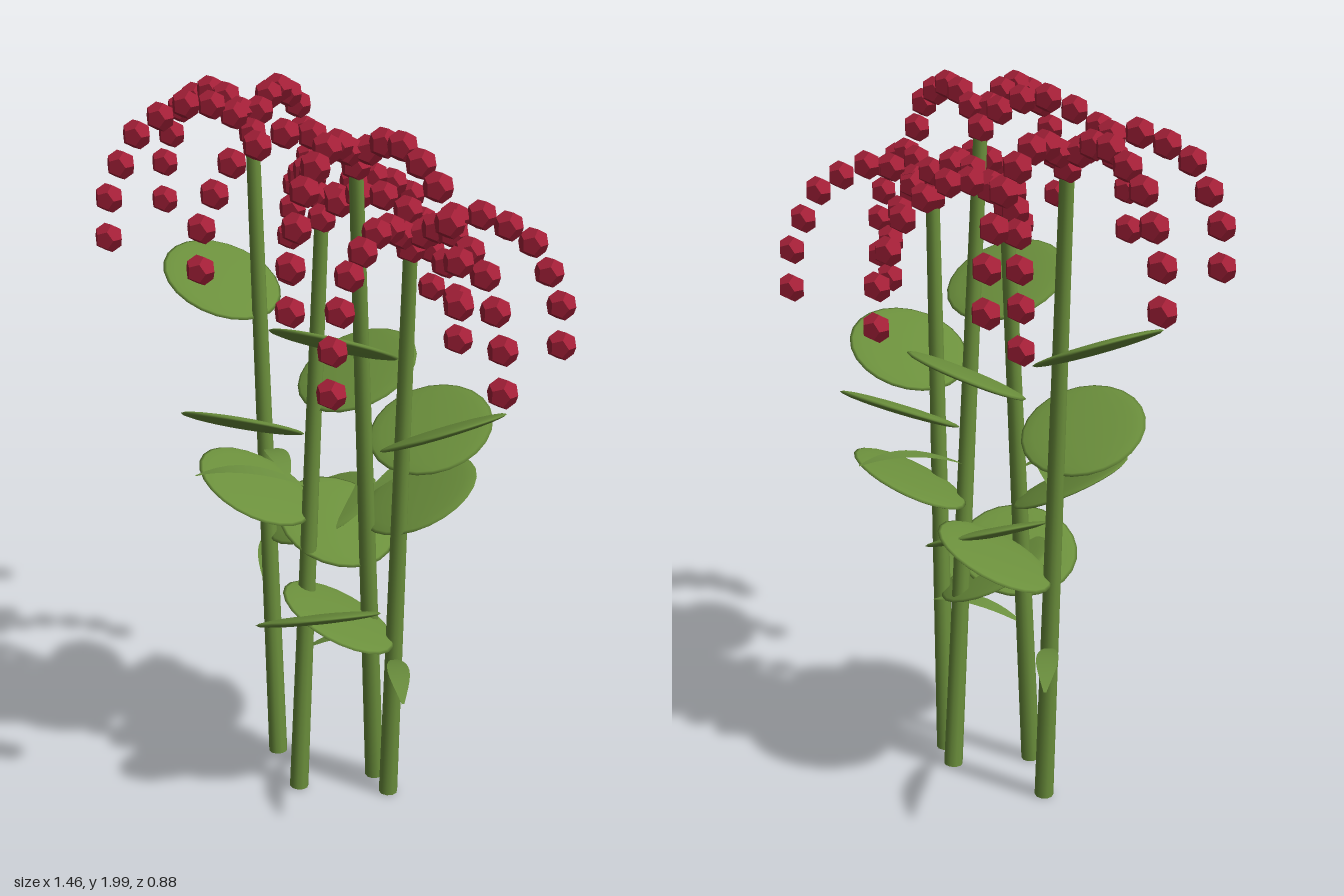
import * as THREE from 'three';
import { mergeVertices } from 'three/addons/utils/BufferGeometryUtils.js';

const material = (name, color, extra = {}) => {
  const m = new THREE.MeshStandardMaterial({ color, ...extra });
  m.name = name;
  return m;
};

// Welds all corners so shading flows smoothly over the caps
function weld(geometry) {
  geometry.deleteAttribute('normal');
  geometry.deleteAttribute('uv');
  const welded = mergeVertices(geometry);
  welded.computeVertexNormals();
  return welded;
}

const V = (x, y, z) => new THREE.Vector3(x, y, z);

// Each plant: stem ends, leaves [height, dx, dz], strands [dx, dz], blades [height, tip x, y, z]
const plants = [
  {
    base: V(-0.18, 0, -0.02), top: V(-0.29, 1.86, -0.045),
    leaves: [[1.34, -1, 0], [1.01, 0.065, 0.145], [0.69, 0.09, -0.13]],
    strands: [[-0.16, -0.37], [-0.4, -0.02], [-0.21, 0.34]],
    blades: [[0.48, -0.48, 0.53, -0.25], [0.95, -0.02, 0.96, 0.08]],
  },
  {
    base: V(0.01, 0, 0.075), top: V(0.02, 1.69, -0.005),
    leaves: [[1.16, 0.01, -0.17], [0.84, -0.145, 0.08], [0.53, 0.15, 0.09]],
    strands: [[-0.33, -0.2], [0.03, -0.4], [0.37, -0.12]],
    blades: [[0.44, 0.22, 0.49, -0.12], [0.93, -0.18, 0.98, 0.28]],
  },
  {
    base: V(0.115, 0, -0.13), top: V(0.17, 1.865, 0.02),
    leaves: [[1.34, 0.045, 0.15], [0.82, 0.07, -0.16], [0.7, -0.16, -0.03]],
    strands: [[-0.26, 0.3], [0.15, 0.38], [0.4, 0.04]],
    blades: [[0.92, 0.19, 0.98, -0.38]],
  },
  {
    base: V(0.21, 0, -0.09), top: V(0.3, 1.66, -0.05),
    leaves: [[1.02, -0.03, -0.13], [1.11, 0.15, 0.01], [0.5, -0.11, 0.12]],
    strands: [[0.28, -0.32], [0.4, 0.08], [0.1, 0.37]],
    blades: [[0.44, 0.48, 0.48, 0.14]],
  },
];

// Arching strand: outward distance and height of each bead
const beadPath = [[0, 0], [0.05, 0.05], [0.11, 0.08], [0.18, 0.085], [0.25, 0.055],
  [0.315, 0.01], [0.36, -0.07], [0.395, -0.16], [0.4, -0.27]];

const LEAF_RADIUS = 0.173, LEAF_TILT = 0.46;

// Narrow pointed blade that arches from the stem to its tip
function bladeGeometry(from, tip) {
  const mid = from.clone().lerp(tip, 0.55);
  mid.y += 0.07;
  const curve = new THREE.QuadraticBezierCurve3(from, mid, tip);
  const side = V(tip.z - from.z, 0, from.x - tip.x).normalize();
  const geometry = new THREE.PlaneGeometry(1, 1, 10, 2);
  const p = geometry.attributes.position;
  for (let i = 0; i < p.count; i++) {
    const t = p.getX(i) + 0.5;
    const halfWidth = 0.004 + 0.028 * Math.sin(Math.PI * t);
    const v = curve.getPoint(t).addScaledVector(side, -p.getY(i) * 2 * halfWidth * (1 - 0.12 * t));
    p.setXYZ(i, v.x, v.y, v.z);
  }
  geometry.computeVertexNormals();
  return geometry;
}

export function createModel() {
  const model = new THREE.Group();
  model.name = 'floweringPlants';
  const green = material('leafGreen', 0x6b8f3c);
  const bladeGreen = material('bladeGreen', 0x6b8f3e, { side: THREE.DoubleSide });
  const red = material('berryRed', 0xa52038, { flatShading: true });

  const leafGeometry = new THREE.SphereGeometry(1, 24, 10);
  leafGeometry.scale(LEAF_RADIUS, 0.014, LEAF_RADIUS);
  const beadGeometry = new THREE.DodecahedronGeometry(0.041);

  for (const { base, top, leaves, strands, blades } of plants) {
    const plant = new THREE.Group();
    plant.name = 'plant';
    const add = (name, geometry, mat) => {
      const mesh = new THREE.Mesh(geometry, mat);
      mesh.name = name;
      plant.add(mesh);
      return mesh;
    };
    const onStem = (y) => base.clone().lerp(top, y / top.y);

    // Leaning, slightly tapered stem
    const axis = top.clone().sub(base);
    const stemGeometry = weld(new THREE.CylinderGeometry(0.019, 0.027, axis.length(), 10));
    const stem = add('stem', stemGeometry, green);
    stem.position.copy(base).lerp(top, 0.5);
    stem.quaternion.setFromUnitVectors(V(0, 1, 0), axis.normalize());

    // Round leaves rising outward from the stem
    for (const [y, dx, dz] of leaves) {
      const d = V(dx, 0, dz).normalize();
      const c = Math.cos(LEAF_TILT), s = Math.sin(LEAF_TILT);
      const radial = V(d.x * c, s, d.z * c);
      const normal = V(-d.x * s, c, -d.z * s);
      const leaf = add('leaf', leafGeometry, green);
      leaf.quaternion.setFromRotationMatrix(
        new THREE.Matrix4().makeBasis(radial, normal, radial.clone().cross(normal)));
      leaf.position.copy(onStem(y)).addScaledVector(radial, LEAF_RADIUS);
    }

    // Small arching blades
    for (const [y, x, tipY, z] of blades) {
      add('narrowBlade', bladeGeometry(onStem(y), V(x, tipY, z)), bladeGreen);
    }

    // Drooping strands of berries
    for (const [dx, dz] of strands) {
      const d = V(dx, 0, dz).normalize();
      for (const [r, h] of beadPath) {
        add('berry', beadGeometry, red).position.set(top.x + d.x * r, top.y + h, top.z + d.z * r);
      }
    }
    model.add(plant);
  }
  return model;
}
